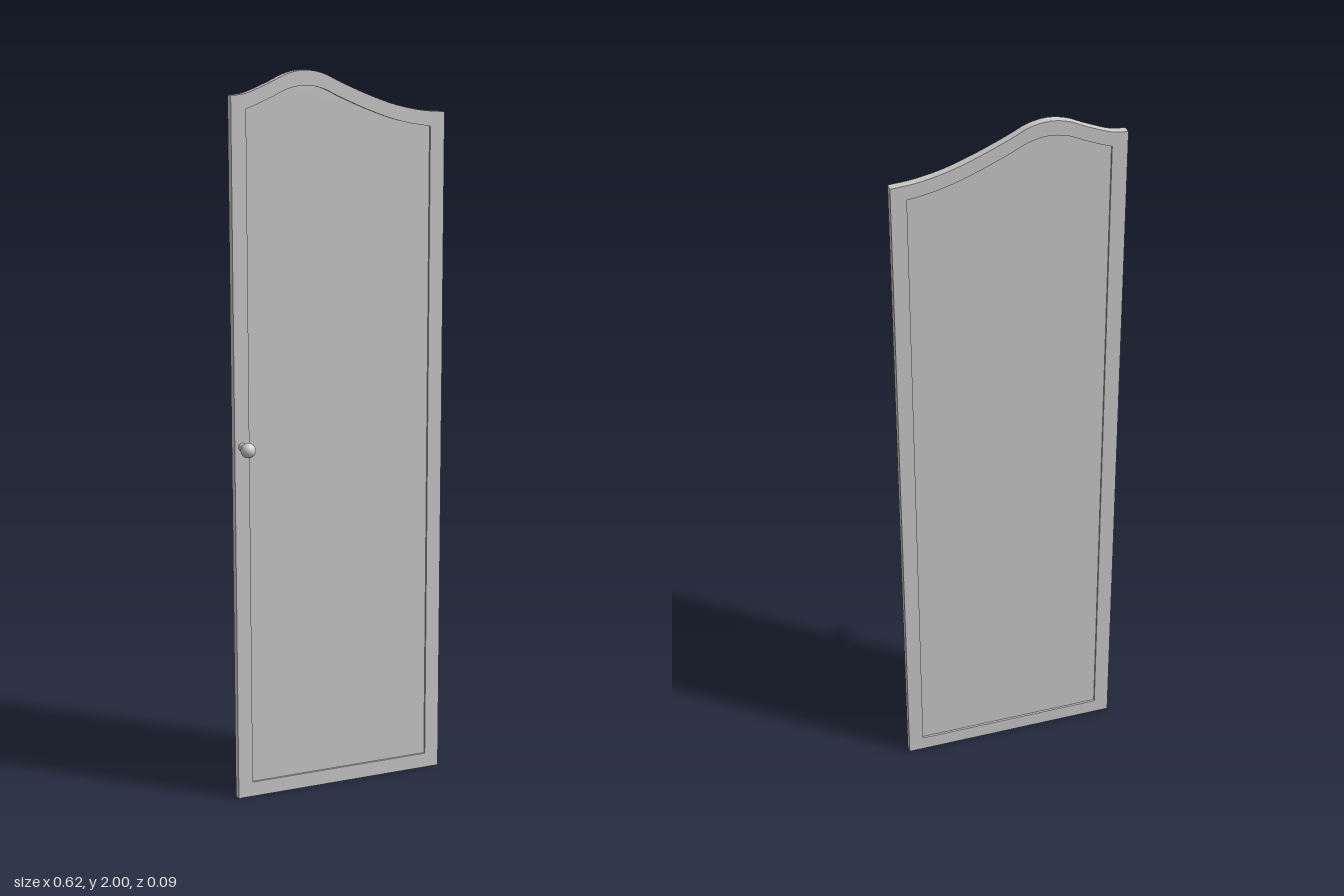
import * as THREE from 'three';
import { toCreasedNormals } from 'three/addons/utils/BufferGeometryUtils.js';

const HALF = 0.309, RAIL = 0.042;
const BACK = -0.045, FRONT = -0.022;
const RECESS = 0.006;

// Wavy top edge of the door, left to right
const crest = new THREE.SplineCurve([
  [-0.309, 1.94], [-0.265, 1.945], [-0.2, 1.97], [-0.15, 1.992], [-0.1, 2.0], [-0.05, 1.991],
  [0, 1.967], [0.08, 1.932], [0.16, 1.903], [0.24, 1.885], [0.309, 1.879],
].map(([x, y]) => new THREE.Vector2(x, y))).getPoints(60);

// Height of the crest at any x
function crestY(x) {
  const i = Math.min(Math.max(crest.findIndex((p) => p.x >= x), 1), crest.length - 1);
  const a = crest[i - 1], b = crest[i];
  return a.y + (b.y - a.y) * (x - a.x) / (b.x - a.x);
}

// Door outline shrunk by an inset on every side
function outline(inset) {
  const half = HALF - inset, pts = [];
  pts.push(new THREE.Vector2(-half, inset), new THREE.Vector2(half, inset));
  for (let i = 0; i <= 48; i++) {
    const x = half - (2 * half * i) / 48;
    pts.push(new THREE.Vector2(x, crestY(x) - inset * 0.95));
  }
  return pts;
}

function slab(shape, z0, z1) {
  const geo = new THREE.ExtrudeGeometry(shape, { depth: z1 - z0, bevelEnabled: false });
  geo.translate(0, 0, z0);
  return toCreasedNormals(geo, 0.5);
}

export function createModel() {
  const group = new THREE.Group();
  const material = new THREE.MeshStandardMaterial({ color: 0xcccccc });
  const add = (name, geo, parent = group) => {
    const mesh = new THREE.Mesh(geo, material);
    mesh.name = name;
    parent.add(mesh);
    return mesh;
  };

  // Frame around the door
  const frame = new THREE.Shape(outline(0));
  frame.holes.push(new THREE.Path(outline(RAIL)));
  add('doorFrame', slab(frame, BACK, FRONT));

  // Panel set back from both faces of the frame
  add('doorPanel', slab(new THREE.Shape(outline(RAIL - 0.001)), BACK + RECESS, FRONT - RECESS));

  // Round knob on a short stem
  const knob = new THREE.Group();
  knob.name = 'knob';
  knob.position.set(-0.288, 1.005, 0);
  const stem = new THREE.CylinderGeometry(0.011, 0.011, 0.03, 32);
  stem.rotateX(Math.PI / 2);
  add('knobStem', stem, knob).position.z = FRONT + 0.014;
  add('knobBall', new THREE.SphereGeometry(0.0205, 32, 20), knob).position.z = 0.0225;
  group.add(knob);

  return group;
}
